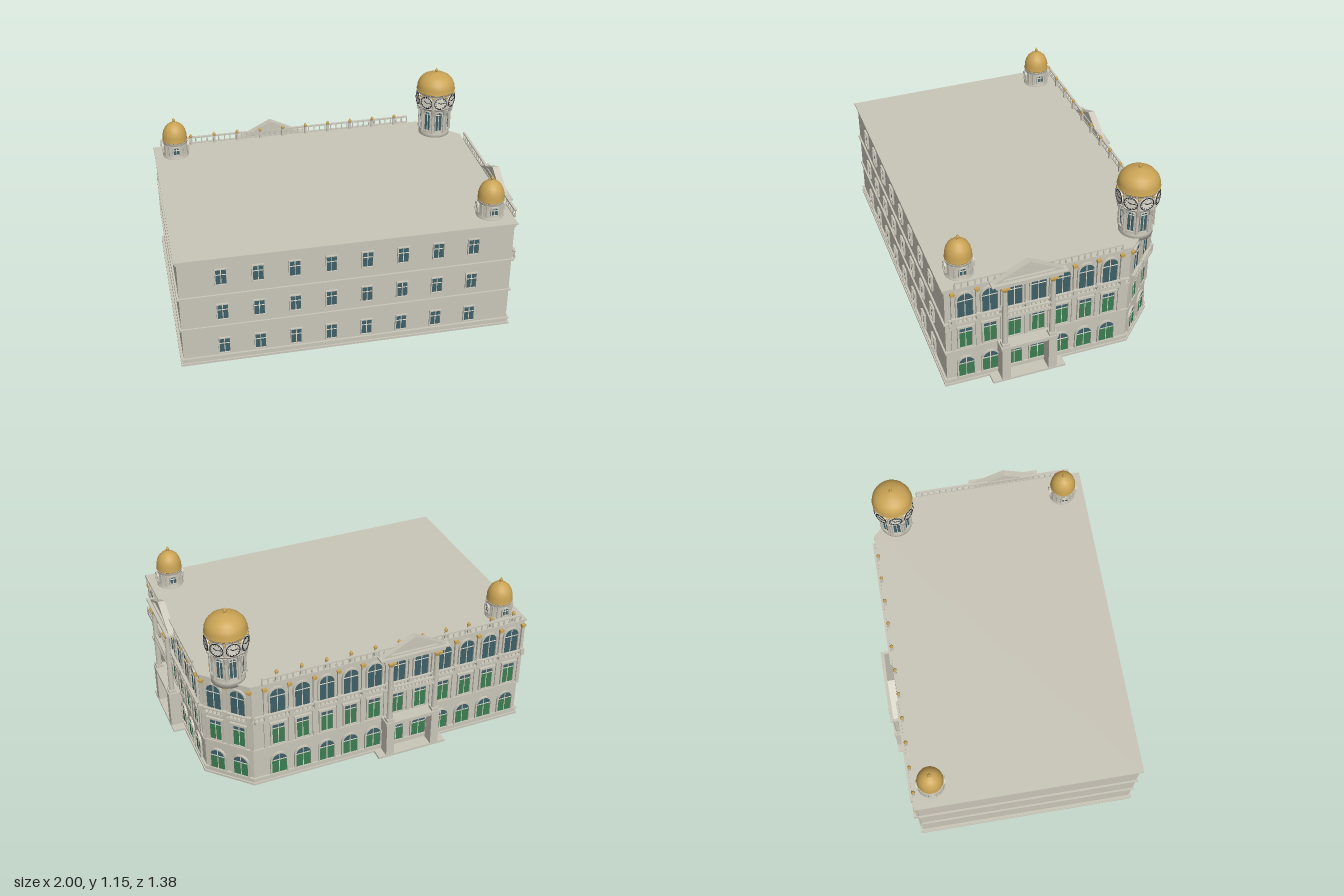
import * as THREE from 'three';
import { mergeGeometries } from 'three/addons/utils/BufferGeometryUtils.js';

const mat = (name, color) => {
  const m = new THREE.MeshStandardMaterial({ color });
  m.name = name;
  return m;
};
const STONE = mat('stone', 0xc9c5b8), GLASS = mat('glass', 0x3d6068), GREEN = mat('green shutter', 0x3b7d53);
const GOLD = mat('gold', 0xcaa455), IVORY = mat('ivory', 0xdedacd), DARK = mat('dark metal', 0x22262a);

// Collects geometry and merges it into one mesh per colour
class Part {
  constructor(name) { this.name = name; this.lists = new Map(); }
  add(m, geo, x = 0, y = 0, z = 0, ry = 0) {
    const g = geo.index ? geo.toNonIndexed() : geo.clone();
    g.rotateY(ry).translate(x, y, z);
    if (!this.lists.has(m)) this.lists.set(m, []);
    this.lists.get(m).push(g);
  }
  // box given by centre x, bottom to top, and depth range
  box(m, x, w, y0, y1, z0, z1) {
    this.add(m, new THREE.BoxGeometry(w, y1 - y0, z1 - z0), x, (y0 + y1) / 2, (z0 + z1) / 2);
  }
  build() {
    const group = new THREE.Group();
    group.name = this.name;
    for (const [m, list] of this.lists) {
      const mesh = new THREE.Mesh(mergeGeometries(list), m);
      mesh.name = `${this.name} ${m.name}`;
      group.add(mesh);
    }
    return group;
  }
}

const lathe = (pts, n = 24) => new THREE.LatheGeometry(pts.map(p => new THREE.Vector2(...p)), n);
const cyl = (r0, r1, h, n = 12) => new THREE.CylinderGeometry(r0, r1, h, n);
const extrude = (s, depth) => new THREE.ExtrudeGeometry(s, { depth, bevelEnabled: false, curveSegments: 10 });

// Rectangle or round-headed outline; top is the springing height of an arch
function opening(w, y0, top, arched, Kind = THREE.Shape) {
  const s = new Kind(), h = w / 2;
  s.moveTo(-h, y0).lineTo(h, y0).lineTo(h, top);
  if (arched) s.absarc(0, top, h, 0, Math.PI, false);
  else s.lineTo(-h, top);
  s.closePath();
  return s;
}

// Framed window with mullions; green leaves fill it up to greenTop
function windowAt(p, u, w, y0, top, arched, greenTop = 0, f = 0.009, z = 0, ry = 0, barY = 0) {
  const put = (m, g, lift) => p.add(m, g.translate(0, 0, lift), u, 0, z, ry);
  const bar = (bw, a, b, x = 0) => put(IVORY, new THREE.BoxGeometry(bw, b - a, 0.003).translate(x, (a + b) / 2, 0), 0.006);
  const frame = opening(w + 2 * f, y0 - f * 0.6, top + (arched ? 0 : f), arched);
  frame.holes.push(opening(w, y0, top, arched, THREE.Path));
  put(STONE, extrude(frame, 0.012), 0);
  put(GLASS, new THREE.ShapeGeometry(opening(w, y0, top, arched), 10), 0.003);
  if (greenTop) put(GREEN, new THREE.BoxGeometry(w, greenTop - y0, 0.002).translate(0, (greenTop + y0) / 2, 0), 0.004);
  bar(0.004, y0, top + (arched ? w / 2 : 0));
  const by = barY || greenTop || top;
  bar(w, by - 0.002, by + 0.002);
}

// Rail with small balusters between two points along a wall
function balustrade(p, u0, u1, y0, y1, z, step = 0.03) {
  const n = Math.round((u1 - u0) / step), mid = (u0 + u1) / 2;
  p.box(STONE, mid, u1 - u0, y1 - 0.008, y1, z - 0.007, z + 0.007);
  p.box(STONE, mid, u1 - u0, y0, y0 + 0.006, z - 0.006, z + 0.006);
  for (let i = 0; i <= n; i++)
    p.add(STONE, cyl(0.003, 0.005, y1 - y0, 6), u0 + (u1 - u0) * i / n, (y0 + y1) / 2, z);
}

// One decorated street front, facing +z in its own frame
function facade(name, bays, step, lo, hi) {
  const p = new Part(name);
  for (const u of bays) {
    windowAt(p, u, 0.09, 0.045, 0.137, true, 0.137);
    windowAt(p, u, 0.072, 0.262, 0.4, false, 0.37, 0.011);
    p.box(STONE, u, 0.105, 0.411, 0.419, 0, 0.018);
    windowAt(p, u, 0.088, 0.475, 0.603, true, 0, 0.01, 0, 0, 0.595);
  }
  // pilasters with gilded capitals
  for (let i = 0; i <= bays.length; i++) {
    const u = bays[0] + (i - 0.5) * step;
    p.box(STONE, u, 0.022, 0.248, 0.44, 0, 0.008);
    p.box(STONE, u, 0.018, 0.455, 0.645, 0, 0.014);
    p.box(GOLD, u, 0.022, 0.645, 0.651, 0, 0.017);
    p.box(GOLD, u, 0.026, 0.651, 0.664, 0, 0.019);
    p.box(STONE, u, 0.024, 0.455, 0.497, 0, 0.03);
  }
  // upper balcony ledge and balustrade
  p.box(STONE, (lo + hi) / 2, hi - lo, 0.443, 0.457, 0, 0.03);
  balustrade(p, lo, hi, 0.457, 0.493, 0.022, 0.026);
  return p;
}

// Entrance porch with two tall columns and a pediment
function portico(p, c, half) {
  p.box(STONE, c, 0.43, 0, 0.012, 0, 0.082);
  for (const s of [-1, 1]) {
    const u = c + s * half;
    p.box(STONE, u, 0.05, 0, 0.235, 0, 0.08);
    p.box(STONE, u, 0.044, 0.25, 0.268, 0.032, 0.076);
    p.add(STONE, cyl(0.014, 0.0165, 0.372, 16), u, 0.454, 0.054);
    p.add(GOLD, cyl(0.021, 0.015, 0.02, 16), u, 0.65, 0.054);
    p.box(GOLD, u, 0.046, 0.66, 0.668, 0.031, 0.077);
  }
  p.box(STONE, c, half * 2 + 0.06, 0.232, 0.25, 0, 0.082);
  p.box(STONE, c, half * 2 + 0.05, 0.215, 0.232, 0, 0.07);
  p.box(STONE, c, half * 2, 0.443, 0.455, 0.02, 0.066);
  balustrade(p, c - half, c + half, 0.455, 0.49, 0.056, 0.022);
  p.box(STONE, c, 0.38, 0.668, 0.69, 0, 0.066);
  p.box(STONE, c, 0.43, 0.69, 0.7, 0, 0.075);
  const tri = (K, w, y0, y1) => new K().moveTo(-w, y0).lineTo(w, y0).lineTo(0, y1).closePath();
  const rim = tri(THREE.Shape, 0.2, 0.7, 0.802);
  rim.holes.push(tri(THREE.Path, 0.155, 0.709, 0.788));
  p.add(STONE, extrude(rim, 0.04), c, 0, 0.015);
  p.add(STONE, extrude(tri(THREE.Shape, 0.165, 0.705, 0.789), 0.024), c, 0, 0.018);
}

// Gilded onion dome with a pointed finial
function dome(p, r, h, y, spire) {
  p.add(GOLD, lathe([[0, 0], [r, 0], [r * 1.02, h * 0.06], [r * 0.97, h * 0.1], [r * 0.98, h * 0.3], [r * 0.9, h * 0.53],
    [r * 0.74, h * 0.74], [r * 0.5, h * 0.89], [r * 0.22, h * 0.97], [0, h]], 28), 0, y);
  p.add(GOLD, lathe([[0.012, -0.006], [0.005, 0.1 * spire], [0.005, 0.2 * spire], [0.0105, 0.38 * spire],
    [0.008, 0.55 * spire], [0.003, 0.75 * spire], [0, spire]], 12), 0, y + h);
}

function turret() {
  const p = new Part('roof turret');
  p.add(STONE, lathe([[0.079, 0.69], [0.079, 0.714], [0.072, 0.718], [0.071, 0.79]], 24));
  p.add(STONE, cyl(0.079, 0.074, 0.016, 24), 0, 0.798);
  for (let i = 0; i < 4; i++) {
    const a = i * Math.PI / 2, b = a + Math.PI / 4;
    windowAt(p, Math.sin(a) * 0.071, 0.036, 0.735, 0.765, true, 0, 0.006, Math.cos(a) * 0.071, a);
    for (const d of [-0.2, 0.2])
      p.add(STONE, cyl(0.006, 0.006, 0.075, 8), Math.sin(b + d) * 0.072, 0.752, Math.cos(b + d) * 0.072);
  }
  dome(p, 0.075, 0.115, 0.805, 0.036);
  return p.build();
}

function clockTower() {
  const p = new Part('clock tower');
  p.add(STONE, lathe([[0, 0.685], [0.096, 0.685], [0.096, 0.72], [0.088, 0.73], [0.085, 0.87], [0.098, 0.89], [0.106, 0.9], [0.106, 0.99]], 32));
  p.add(STONE, cyl(0.117, 0.108, 0.014, 32), 0, 0.897);
  p.add(STONE, cyl(0.12, 0.112, 0.014, 32), 0, 0.993);
  for (let i = 0; i < 8; i++) {
    const a = i * Math.PI / 4, b = a + Math.PI / 8, sx = Math.sin(a), cz = Math.cos(a);
    windowAt(p, sx * 0.085, 0.038, 0.745, 0.855, true, 0, 0.005, cz * 0.085, a);
    // slender columns and flared brackets
    p.add(STONE, cyl(0.007, 0.009, 0.15, 8), Math.sin(b) * 0.095, 0.805, Math.cos(b) * 0.095);
    p.add(STONE, cyl(0.017, 0.008, 0.04, 8), Math.sin(b) * 0.1, 0.872, Math.cos(b) * 0.1);
    p.add(GOLD, new THREE.SphereGeometry(0.009, 8, 6), Math.sin(b) * 0.113, 0.98, Math.cos(b) * 0.113);
    p.add(STONE, cyl(0.008, 0.008, 0.08, 8), Math.sin(b) * 0.108, 0.94, Math.cos(b) * 0.108);
    // clock dial, rim, hour marks and hands
    const put = (m, g) => p.add(m, g, sx * 0.107, 0.946, cz * 0.107, a);
    put(IVORY, cyl(0.038, 0.038, 0.016, 24).rotateX(Math.PI / 2));
    put(DARK, new THREE.TorusGeometry(0.038, 0.0025, 6, 24).translate(0, 0, 0.008));
    for (let k = 0; k < 12; k++)
      put(DARK, new THREE.BoxGeometry(0.0025, 0.006, 0.002).translate(0, 0.031, 0.009).rotateZ(k * Math.PI / 6));
    for (const [len, turn] of [[0.02, 1.0], [0.028, -1.35]])
      put(DARK, new THREE.BoxGeometry(0.004, len, 0.002).translate(0, len / 2, 0.01).rotateZ(turn));
  }
  dome(p, 0.118, 0.11, 1.0, 0.036);
  return p.build();
}

// Plan outline with one cut corner, grown by d and raised from y0 to y1
function slab(p, d, y0, y1) {
  const W = -0.985 - d, E = 0.915 + d, N = 0.61 + d, S = -0.675 - d, c = 1.31 + d * Math.SQRT2;
  const s = new THREE.Shape([[W, S], [E, S], [E, c - E], [c - N, N], [W, N]].map(q => new THREE.Vector2(...q)));
  p.add(STONE, extrude(s, y1 - y0).rotateX(-Math.PI / 2), 0, y0);
}

export function createModel() {
  const model = new THREE.Group();
  model.name = 'corner building';
  const place = (g, x, z, ry = 0) => {
    g.position.set(x, 0, z);
    g.rotation.y = ry;
    model.add(g);
  };
  const row = (n, start, step) => Array.from({ length: n }, (_, i) => start + i * step);

  // Main block, plinth, string courses and cornice
  const body = new Part('main block');
  for (const [d, a, b] of [[0, 0.01, 0.695], [0.015, 0, 0.012], [0.006, 0.012, 0.035], [0.013, 0.035, 0.043],
    [0.01, 0.236, 0.247], [0.011, 0.446, 0.457], [0.007, 0.672, 0.69], [0.015, 0.69, 0.7]]) slab(body, d, a, b);
  model.add(body.build());

  // Plain side with three rows of small windows
  const plain = new Part('plain side windows');
  for (const u of row(8, -0.75, 0.2043))
    for (const y of [0.06, 0.292, 0.525]) windowAt(plain, u, 0.058, y, y + 0.096, false, 0, 0.006, 0, 0, y + 0.062);
  place(plain.build(), 0, 0.675);

  // Short street front
  const short = facade('short street front', row(7, -0.563, 0.139), 0.139, -0.66, 0.385);
  portico(short, -0.218, 0.137);
  balustrade(short, -0.62, 0.33, 0.7, 0.747, 0.02, 0.036);
  place(short.build(), 0.915, 0, Math.PI / 2);

  // Long street front with gilded roof finials
  const long = facade('long street front', row(11, -0.55, 0.146), 0.146, -0.69, 0.97);
  portico(long, 0.255, 0.143);
  balustrade(long, -0.64, 0.95, 0.7, 0.745, 0.02, 0.036);
  for (const u of row(11, -0.55, 0.146)) {
    long.box(STONE, u, 0.014, 0.7, 0.748, -0.002, 0.012);
    long.add(GOLD, lathe([[0.005, 0], [0.011, 0.012], [0.008, 0.02], [0, 0.032]], 10), u, 0.744, 0.005);
  }
  place(long.build(), 0, -0.61, Math.PI);

  // Cut corner below the clock tower
  const corner = facade('corner front', [-0.073, 0.073], 0.146, -0.15, 0.15);
  place(corner.build(), 0.8075, -0.5025, Math.PI * 0.75);

  // Roof features
  place(clockTower(), 0.778, -0.478);
  place(turret(), -0.87, -0.51);
  place(turret(), 0.805, 0.557);
  return model;
}
